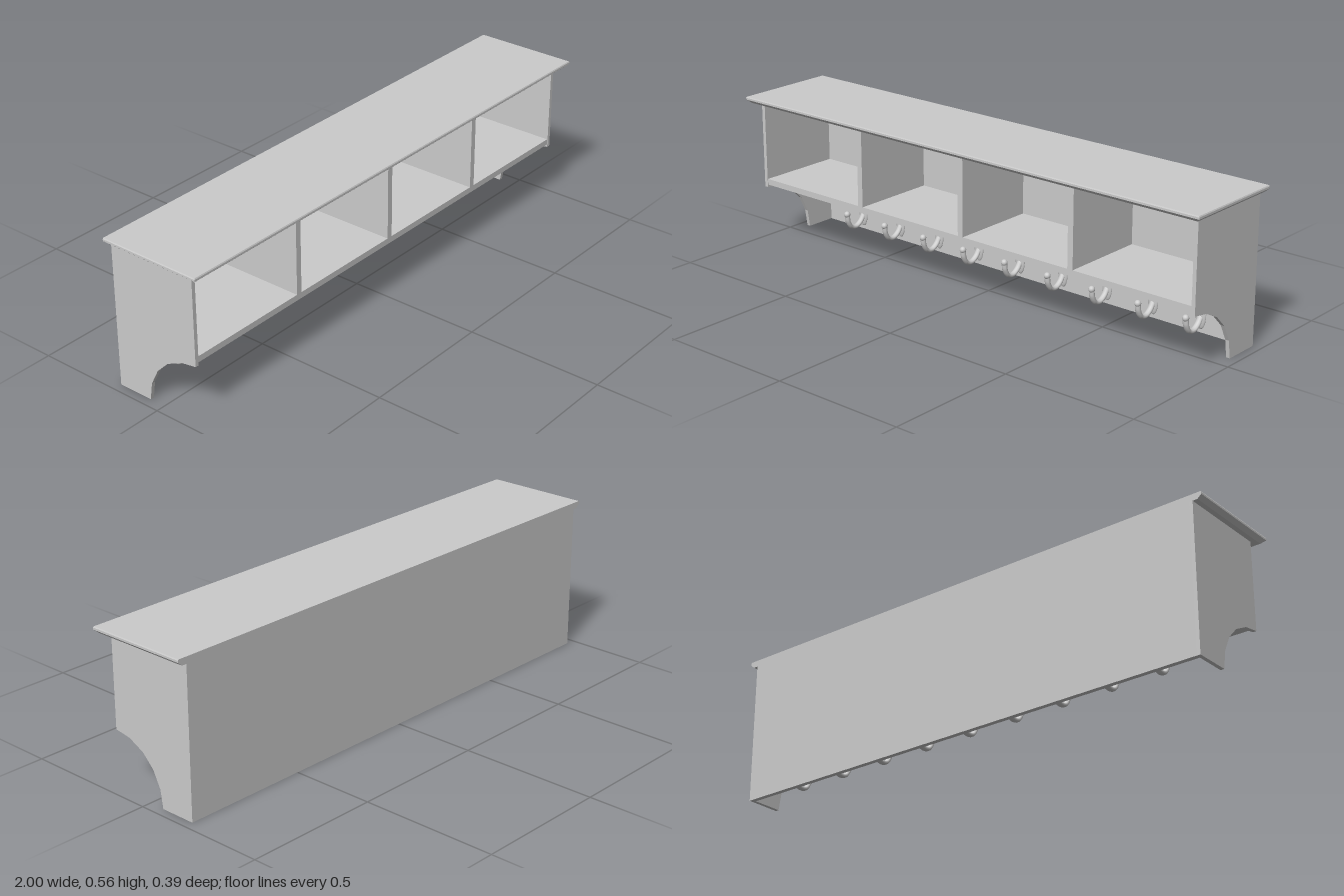
import * as THREE from 'three';

const mat = new THREE.MeshStandardMaterial({ color: 0xcccccc });
const BACK = -0.193, FRONT = 0.148, WALL = -0.175; // WALL = front face of the back board

function add(parent, name, geo, x = 0, y = 0, z = 0) {
  const m = new THREE.Mesh(geo, mat);
  m.name = name;
  m.position.set(x, y, z);
  parent.add(m);
  return m;
}

// Box given by its limits
function slab(parent, name, x0, x1, y0, y1, z0, z1) {
  return add(parent, name, new THREE.BoxGeometry(x1 - x0, y1 - y0, z1 - z0),
    (x0 + x1) / 2, (y0 + y1) / 2, (z0 + z1) / 2);
}

// Top board: rectangular rings with a moulded edge at front and sides, flush at the back
function topBoardGeometry() {
  const rings = [[0.535, 0.015], [0.548, 0], [0.555, 0], [0.559, 0.002]].map(([y, d]) => [
    [-1 + d, y, 0.194 - d], [1 - d, y, 0.194 - d], [1 - d, y, BACK], [-1 + d, y, BACK]]);
  const pos = [];
  const quad = (a, b, c, d) => pos.push(...a, ...b, ...c, ...a, ...c, ...d);
  for (let i = 0; i < rings.length - 1; i++)
    for (let j = 0; j < 4; j++) {
      const k = (j + 1) % 4;
      quad(rings[i][j], rings[i][k], rings[i + 1][k], rings[i + 1][j]);
    }
  quad(...rings[rings.length - 1]);
  quad(...[...rings[0]].reverse());
  const g = new THREE.BufferGeometry();
  g.setAttribute('position', new THREE.Float32BufferAttribute(pos, 3));
  g.computeVertexNormals();
  return g;
}

// Side panel with a faceted concave cut-out at the lower front
function sideGeometry(thickness) {
  const profile = [[BACK, 0], [-0.06, 0], [-0.05, 0.065], [-0.02, 0.125], [0.025, 0.17],
    [0.085, 0.2], [FRONT, 0.21], [FRONT, 0.536], [BACK, 0.536]];
  const shape = new THREE.Shape(profile.map(([z, y]) => new THREE.Vector2(-z, y)));
  const g = new THREE.ExtrudeGeometry(shape, { depth: thickness, bevelEnabled: false });
  return g.rotateY(Math.PI / 2).translate(-thickness / 2, 0, 0);
}

// Curved prong running through [y, z] points, flattened or widened in x
function prong(parent, name, pts, radius, widen) {
  const curve = new THREE.CatmullRomCurve3(pts.map(([y, z]) => new THREE.Vector3(0, y, z)));
  add(parent, name, new THREE.TubeGeometry(curve, 16, radius, 10)).scale.x = widen;
}

// Coat hook: oval plate, lower curl, and on tall hooks an upper prong with a ball tip
function makeHook(tall) {
  const hook = new THREE.Group();
  hook.name = tall ? 'tallHook' : 'shortHook';
  add(hook, 'hookPlate', new THREE.SphereGeometry(1, 20, 12), 0, 0.066, 0).scale.set(0.021, 0.054, 0.008);
  prong(hook, 'hookCurl', [[0.06, 0], [0.035, 0.018], [0.021, 0.042], [0.026, 0.068],
    [0.05, 0.084], [0.076, 0.088]], 0.008, 1.4);
  add(hook, 'hookCurlTip', new THREE.SphereGeometry(0.012, 14, 10), 0, 0.079, 0.088);
  if (tall) {
    prong(hook, 'upperProng', [[0.09, 0.002], [0.104, 0.03], [0.125, 0.06], [0.155, 0.082],
      [0.182, 0.092]], 0.006, 0.9);
    add(hook, 'upperProngTip', new THREE.SphereGeometry(0.009, 14, 10), 0, 0.182, 0.092);
  }
  return hook;
}

export function createModel() {
  const model = new THREE.Group();
  model.name = 'wallShelfWithHooks';

  // Cabinet
  add(model, 'topBoard', topBoardGeometry());
  const side = sideGeometry(0.014);
  add(model, 'rightSide', side, -0.96);
  add(model, 'leftSide', side, 0.96);
  slab(model, 'backBoard', -0.954, 0.954, 0, 0.536, BACK, WALL);
  slab(model, 'shelf', -0.954, 0.954, 0.219, 0.241, WALL, FRONT - 0.002);
  for (const x of [-0.475, -0.002, 0.473])
    slab(model, 'divider', x - 0.011, x + 0.011, 0.241, 0.536, WALL, FRONT - 0.002);

  // Alternating tall and short hooks
  for (let i = 0; i < 9; i++) {
    const hook = makeHook(i % 2 === 0);
    hook.position.set((i - 4) * 0.1938 - 0.002, 0, WALL);
    model.add(hook);
  }
  return model;
}
